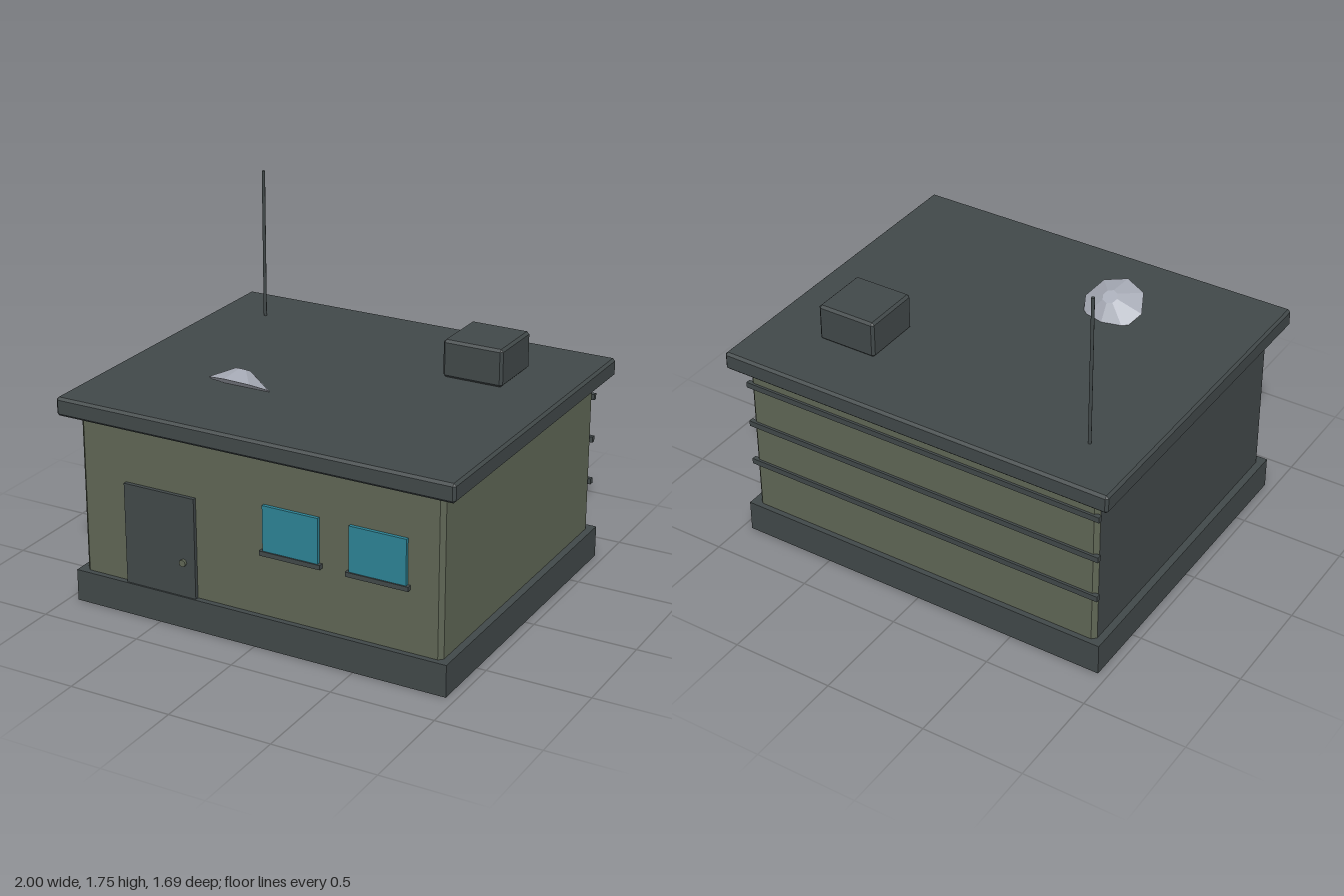
import * as THREE from 'three';
import { ConvexGeometry } from 'three/addons/geometries/ConvexGeometry.js';

const material = (name, color) => {
  const m = new THREE.MeshStandardMaterial({ color });
  m.name = name;
  return m;
};

// Box with a single flat chamfer on every edge
function chamferBox(w, h, d, c) {
  const points = [];
  for (const x of [-1, 1]) for (const y of [-1, 1]) for (const z of [-1, 1]) {
    const [X, Y, Z] = [x * w / 2, y * h / 2, z * d / 2];
    points.push(
      new THREE.Vector3(X, Y - y * c, Z - z * c),
      new THREE.Vector3(X - x * c, Y, Z - z * c),
      new THREE.Vector3(X - x * c, Y - y * c, Z));
  }
  return new ConvexGeometry(points);
}

export function createModel() {
  const group = new THREE.Group();
  group.name = 'building';

  const olive = material('olive', 0x5f6655);
  const slate = material('slate', 0x414849);
  const glass = material('teal glass', 0x2d8294);
  const metal = material('pale metal', 0xa6aab5);

  const add = (name, geometry, mat, x, y, z) => {
    const mesh = new THREE.Mesh(geometry, mat);
    mesh.name = name;
    mesh.position.set(x, y, z);
    group.add(mesh);
    return mesh;
  };
  // Box given by its lower and upper limits on each axis
  const block = (name, mat, [x0, x1], [y0, y1], [z0, z1], chamfer = 0) => {
    const size = [x1 - x0, y1 - y0, z1 - z0];
    const geometry = chamfer ? chamferBox(...size, chamfer) : new THREE.BoxGeometry(...size);
    return add(name, geometry, mat, (x0 + x1) / 2, (y0 + y1) / 2, (z0 + z1) / 2);
  };

  // Plinth, walls and roof slab
  block('plinth', slate, [-0.955, 0.955], [0, 0.155], [-0.803, 0.803]);
  const walls = block('walls', [olive, slate], [-0.92, 0.92], [0.13, 0.928], [-0.776, 0.776], 0.02);
  block('roof', slate, [-1, 1], [0.928, 1.018], [-0.845, 0.845], 0.012);

  // The right-hand wall face is slate, the rest olive
  const normals = walls.geometry.attributes.normal;
  for (let i = 0; i < normals.count; i += 3) {
    walls.geometry.addGroup(i, 3, normals.getX(i) < -0.9 ? 1 : 0);
  }

  // Door and knob
  block('door', slate, [-0.68, -0.31], [0.155, 0.647], [0.77, 0.795]);
  const knob = add('doorKnob', new THREE.CylinderGeometry(0.017, 0.017, 0.025, 8), olive, -0.37, 0.325, 0.796);
  knob.rotation.x = Math.PI / 2;

  // Windows with sills
  for (const x of [0.182, 0.613]) {
    block('window', glass, [x - 0.139, x + 0.139], [0.475, 0.695], [0.77, 0.793]);
    block('windowSill', slate, [x - 0.153, x + 0.153], [0.455, 0.477], [0.77, 0.8]);
  }

  // Rails across the back wall
  for (const y of [0.4, 0.616, 0.832]) {
    block('backRail', slate, [-0.931, 0.931], [y - 0.014, y + 0.014], [-0.788, -0.765]);
  }

  // Roof equipment
  block('roofUnit', slate, [0.4, 0.7], [1.018, 1.2], [-0.525, -0.225], 0.012);
  add('antenna', new THREE.CylinderGeometry(0.008, 0.008, 0.737, 8), slate, -0.743, 1.3865, -0.556);

  // Tilted faceted dish, partly sunk into the roof
  const tilt = 0.5, depth = 0.07;
  const dishGeometry = new THREE.CylinderGeometry(0.037, 0.15, depth, 8).toNonIndexed();
  dishGeometry.computeVertexNormals();
  const dish = add('dish', dishGeometry, metal, -0.31,
    1.053 + depth / 2 * Math.cos(tilt), 0.388 - depth / 2 * Math.sin(tilt));
  dish.rotation.x = -tilt;

  return group;
}
